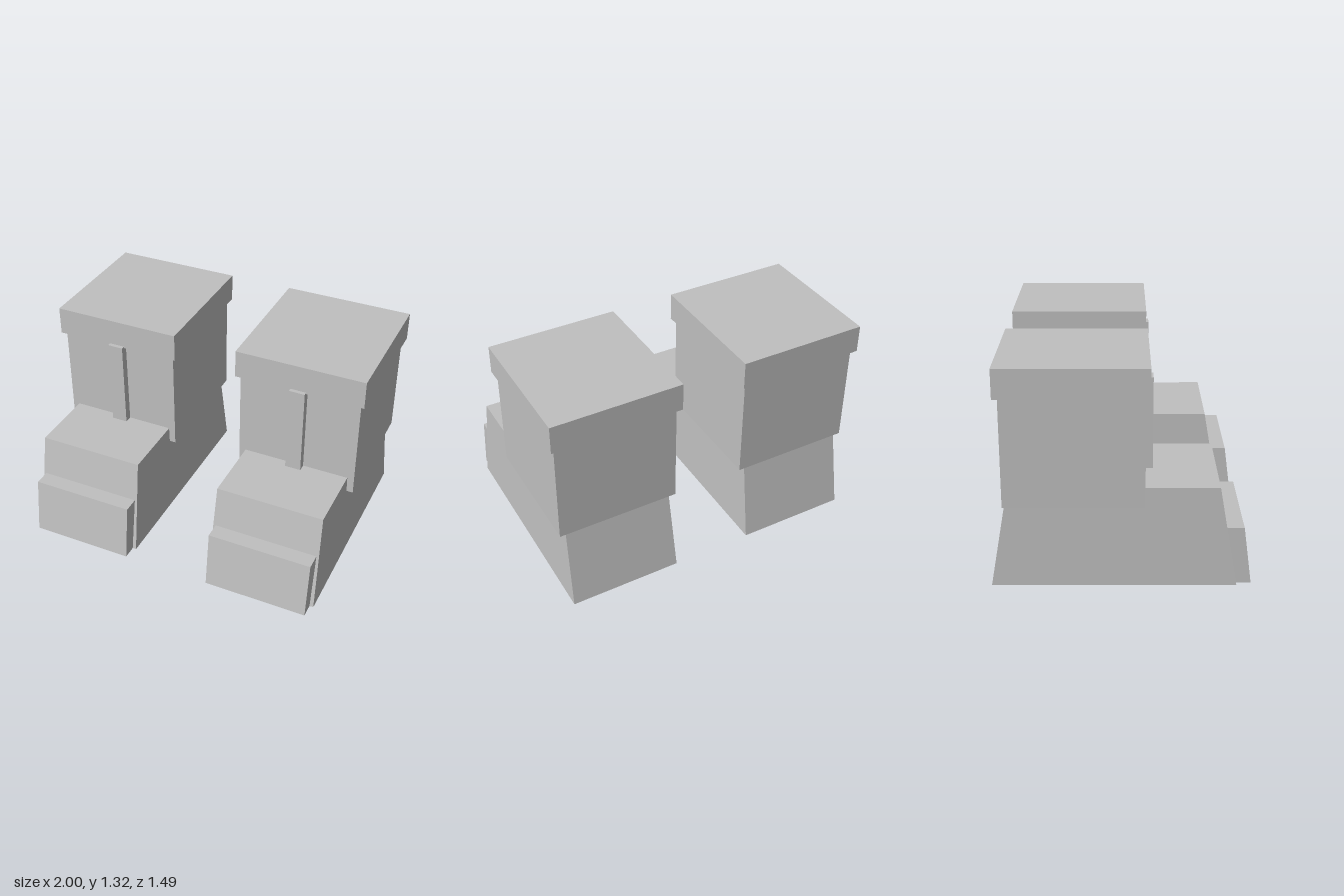
import * as THREE from 'three';

const grey = new THREE.MeshStandardMaterial({ color: 0xc0c0c0 });
grey.name = 'grey';

// Box whose top and bottom faces have their own half-width and z range
function block(name, y0, y1, bottom, top = bottom) {
  const g = new THREE.BoxGeometry(1, 1, 1);
  const p = g.attributes.position;
  for (let i = 0; i < p.count; i++) {
    const up = p.getY(i) > 0;
    const [half, back, front] = up ? top : bottom;
    p.setXYZ(i, Math.sign(p.getX(i)) * half, up ? y1 : y0, p.getZ(i) > 0 ? front : back);
  }
  g.computeVertexNormals();
  const mesh = new THREE.Mesh(g, grey);
  mesh.name = name;
  return mesh;
}

function createBoot(name, x) {
  const boot = new THREE.Group();
  boot.name = name;
  boot.add(
    // tapered foot and slanted toe cap
    block('foot', 0, 0.6, [0.347, -0.743, 0.658], [0.333, -0.638, 0.552]),
    block('toeCap', 0, 0.35, [0.323, 0.5, 0.743], [0.323, 0.5, 0.695]),
    // upright shin with a front ridge and an overhanging cuff
    block('shin', 0.5, 1.142, [0.375, -0.665, 0.132]),
    block('frontRidge', 0.55, 1.152, [0.049, 0.08, 0.181]),
    block('cuff', 1.142, 1.315, [0.4, -0.693, 0.157]),
  );
  boot.position.x = x;
  return boot;
}

export function createModel() {
  const model = new THREE.Group();
  model.name = 'boots';
  model.add(createBoot('leftBoot', 0.6), createBoot('rightBoot', -0.6));
  return model;
}
